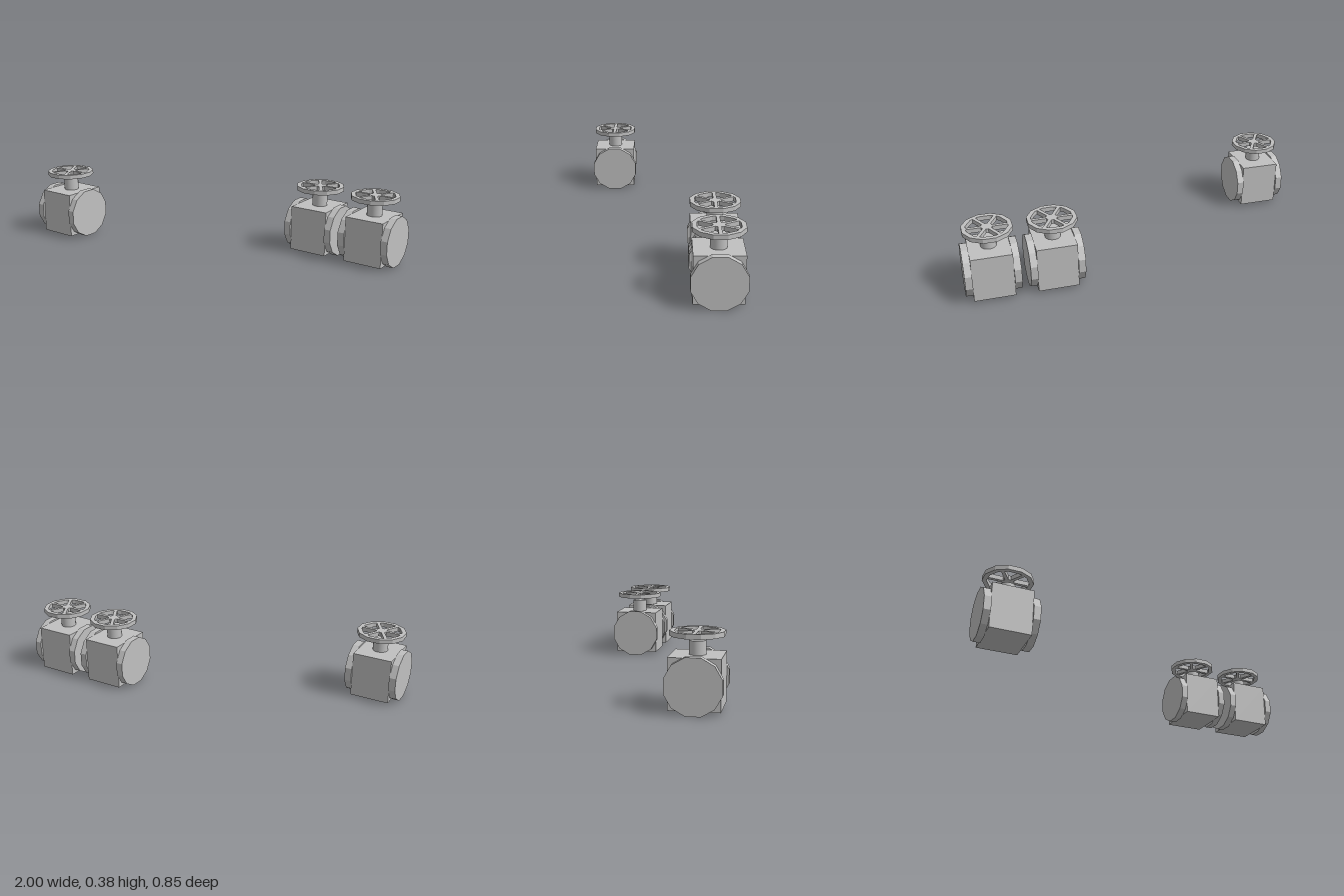
import * as THREE from 'three';

const castMetal = new THREE.MeshStandardMaterial({ color: 0xc0c0c0 });

function addPart(group, name, geometry, x = 0, y = 0, z = 0) {
  const mesh = new THREE.Mesh(geometry, castMetal);
  mesh.name = name;
  mesh.position.set(x, y, z);
  group.add(mesh);
}

function faceted(geometry) {
  const g = geometry.index ? geometry.toNonIndexed() : geometry;
  g.computeVertexNormals();
  return g;
}

const polar = (r, a) => new THREE.Vector2(r * Math.cos(a), r * Math.sin(a));

// Twelve-sided handwheel with six spokes and a small hub
function wheelGeometry() {
  const outer = 0.1325, inner = 0.108, hub = 0.03, halfSpoke = 0.009, sides = 12;
  const rim = [];
  for (let i = 0; i < sides; i++) rim.push(polar(outer, ((i + 0.5) * Math.PI * 2) / sides));
  const shape = new THREE.Shape(rim);
  for (let i = 0; i < 6; i++) {
    const start = (i * Math.PI) / 3, end = start + Math.PI / 3;
    const trimIn = Math.asin(halfSpoke / hub), trimOut = Math.asin(halfSpoke / inner);
    shape.holes.push(new THREE.Path([
      polar(hub, start + trimIn),
      polar(hub, end - trimIn),
      polar(inner, end - trimOut),
      polar(inner, start + Math.PI / 4),
      polar(inner, start + Math.PI / 12),
      polar(inner, start + trimOut),
    ]));
  }
  const g = new THREE.ExtrudeGeometry(shape, { depth: 0.024, bevelEnabled: false });
  g.rotateX(-Math.PI / 2);
  return g;
}

// Twelve-sided end flange lying along x, standing on a flat side
function flangeGeometry() {
  const g = new THREE.CylinderGeometry(0.1412, 0.1412, 0.038, 12);
  g.rotateY(Math.PI / 12);
  g.rotateZ(Math.PI / 2);
  return faceted(g);
}

export function createModel() {
  const model = new THREE.Group();
  model.name = 'valves';
  const body = new THREE.BoxGeometry(0.216, 0.249, 0.249);
  const flange = flangeGeometry();
  const neck = new THREE.CylinderGeometry(0.0412, 0.0412, 0.07, 32);
  const wheel = wheelGeometry();

  // One single valve and a coupled pair
  for (const [x, z] of [[-0.855, 0.2905], [0.52, -0.2905], [0.855, -0.2905]]) {
    const valve = new THREE.Group();
    valve.name = 'valve';
    addPart(valve, 'body', body, 0, 0.1385);
    for (const side of [-1, 1]) addPart(valve, 'flange', flange, side * 0.126, 0.1364);
    addPart(valve, 'neck', neck, 0, 0.295);
    addPart(valve, 'handwheel', wheel, 0, 0.352);
    valve.position.set(x, 0, z);
    model.add(valve);
  }
  return model;
}
